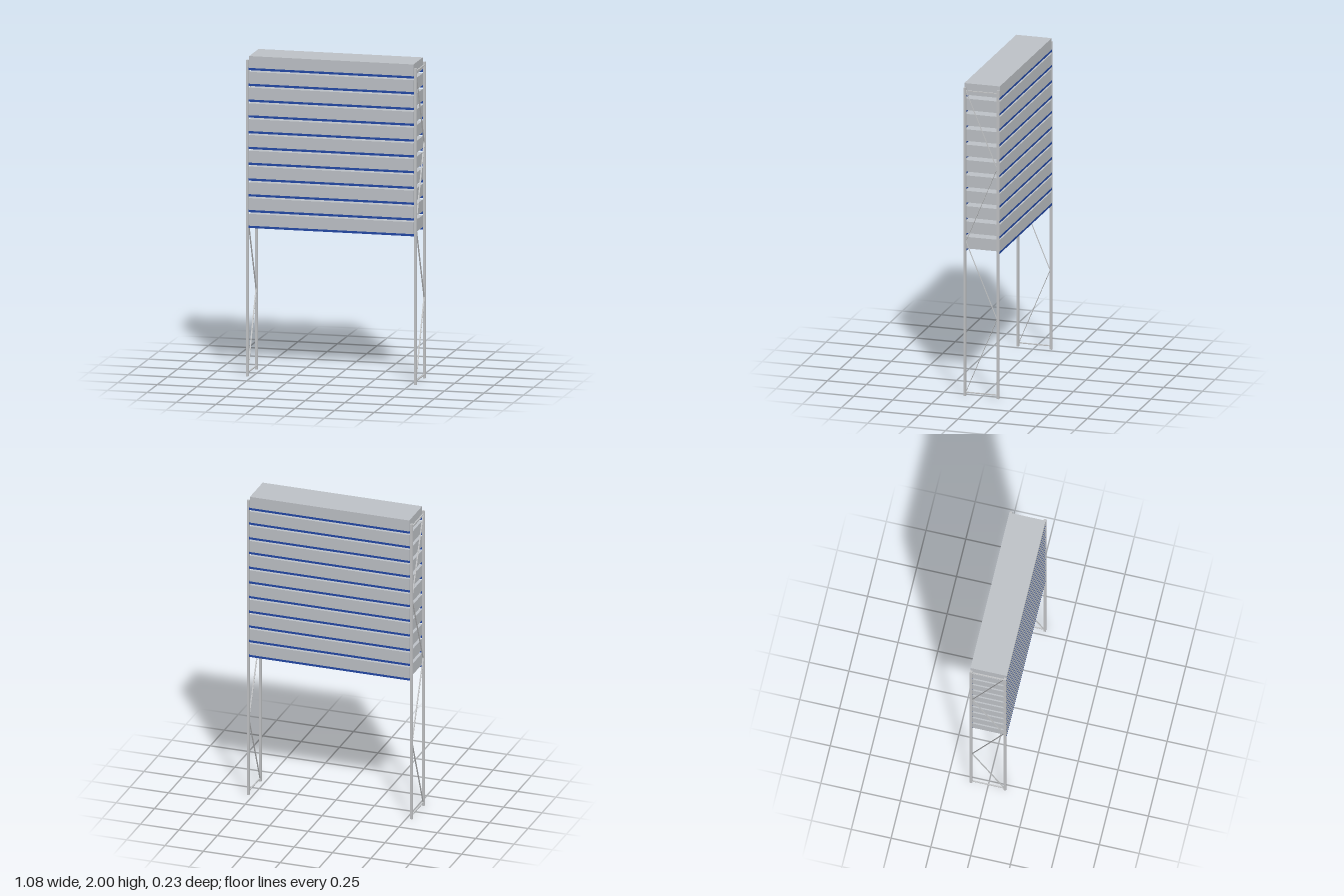
import * as THREE from 'three';

export function createModel() {
  const model = new THREE.Group();
  model.name = 'storageRack';
  const mat = (name, color) => {
    const m = new THREE.MeshStandardMaterial({ color });
    m.name = name;
    return m;
  };
  const steel = mat('galvanised steel', 0xc4c6c8);
  const load = mat('pale grey load', 0xbfc3c8);
  const blue = mat('blue beam', 0x2349a8);

  const box = (parent, name, material, size, pos) => {
    const mesh = new THREE.Mesh(new THREE.BoxGeometry(...size), material);
    mesh.name = name;
    mesh.position.set(...pos);
    parent.add(mesh);
    return mesh;
  };

  // End frames: two posts, two cross bars and a zigzag brace
  const postX = 0.531, postZ = 0.107, post = 0.015, postH = 1.975;
  const nodes = [[0.1, 0.025], [-0.1, 0.508], [0.1, 0.99], [-0.1, 1.473], [0.1, 1.955]];
  for (const side of [-1, 1]) {
    const frame = new THREE.Group();
    frame.name = side > 0 ? 'leftEndFrame' : 'rightEndFrame';
    frame.position.x = side * postX;
    model.add(frame);
    for (const z of [-postZ, postZ]) {
      box(frame, 'post', steel, [post, postH, post], [0, postH / 2, z]);
    }
    for (const y of [0.023, 1.955]) {
      box(frame, 'crossBar', steel, [0.008, 0.006, 2 * postZ - post], [0, y, 0]);
    }
    for (let i = 0; i < nodes.length - 1; i++) {
      const [z0, y0] = nodes[i], [z1, y1] = nodes[i + 1];
      const rod = box(frame, 'diagonalBrace', steel,
        [0.008, Math.hypot(z1 - z0, y1 - y0), 0.003], [0, (y0 + y1) / 2, (z0 + z1) / 2]);
      rod.rotation.x = Math.atan2(z1 - z0, y1 - y0);
    }
  }

  // Eleven levels: a front and a back beam carrying one long load
  const levels = 11, pitch = 0.0985, loadH = 0.074, beamH = 0.014;
  const topBase = 2 - loadH;
  for (let i = 0; i < levels; i++) {
    const level = new THREE.Group();
    level.name = 'level' + (levels - i);
    level.position.y = topBase - i * pitch;
    model.add(level);
    box(level, 'load', load, [1.038, loadH, 0.228], [0, loadH / 2, 0]);
    for (const z of [-postZ, postZ]) {
      box(level, 'beam', blue, [1.047, beamH, 0.014], [0, -beamH / 2, z]);
    }
  }
  return model;
}
